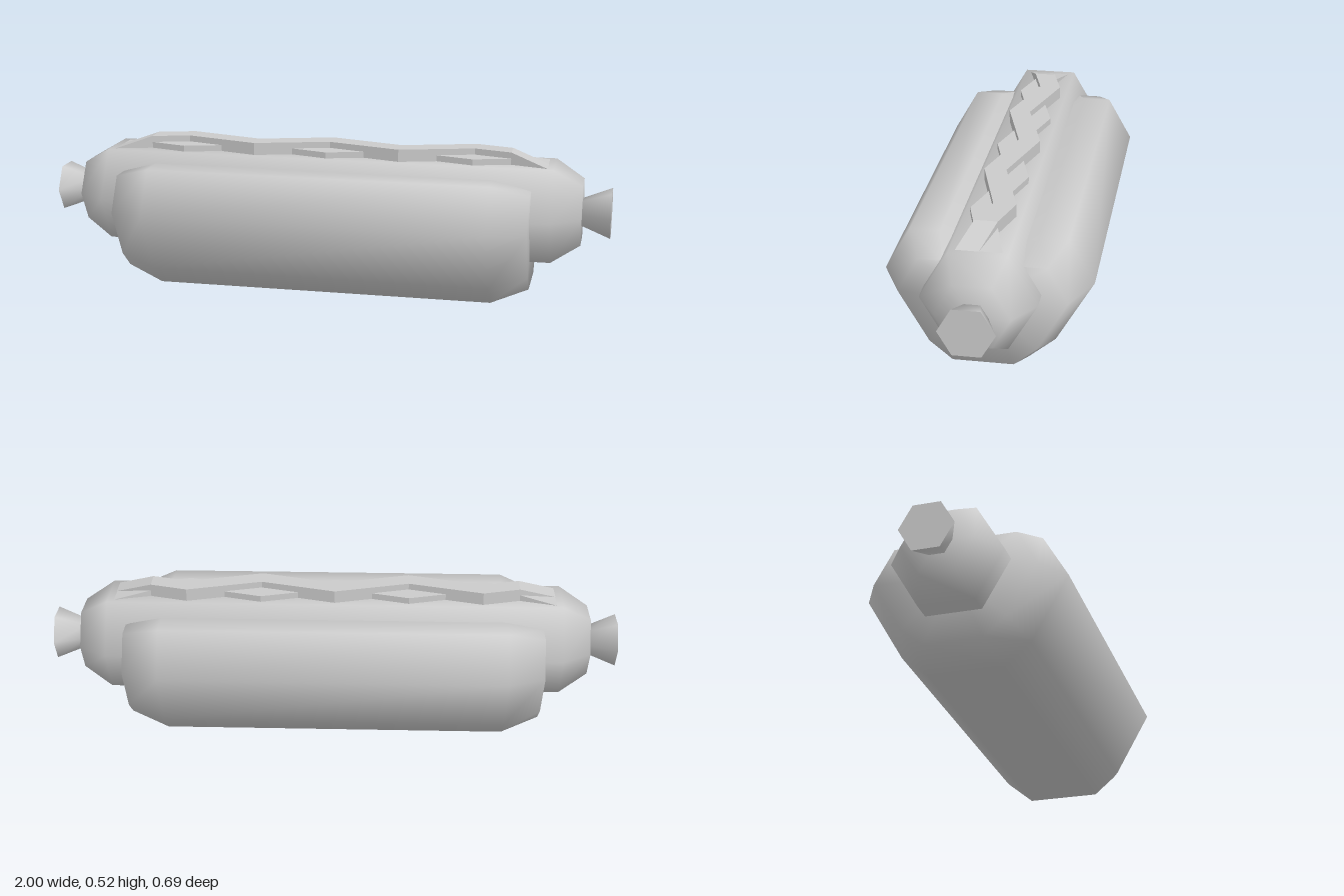
import * as THREE from 'three';
import { toCreasedNormals } from 'three/addons/utils/BufferGeometryUtils.js';

const material = new THREE.MeshStandardMaterial({ color: 0xcccccc });

// Skin a row of rings running along +x. Each section is { x, ring: [[z, y], ...] },
// with the ring turning from +y towards +z; both ends are capped.
function loft(name, sections, crease) {
  const rings = sections.map(({ x, ring }) => ring.map(([z, y]) => [x, y, z]));
  const n = rings[0].length;
  const pos = [];
  const tri = (...points) => points.forEach((p) => pos.push(...p));
  for (let i = 0; i < rings.length - 1; i++) {
    for (let j = 0; j < n; j++) {
      const k = (j + 1) % n;
      const a = rings[i], b = rings[i + 1];
      tri(a[j], a[k], b[j]);
      tri(a[k], b[k], b[j]);
    }
  }
  const centre = (ring) => [0, 1, 2].map((c) => ring.reduce((s, p) => s + p[c], 0) / n);
  const first = rings[0], last = rings[rings.length - 1];
  const c0 = centre(first), c1 = centre(last);
  for (let j = 0; j < n; j++) {
    const k = (j + 1) % n;
    tri(c0, first[k], first[j]);
    tri(c1, last[j], last[k]);
  }
  const geometry = new THREE.BufferGeometry();
  geometry.setAttribute('position', new THREE.Float32BufferAttribute(pos, 3));
  const mesh = new THREE.Mesh(toCreasedNormals(geometry, crease), material);
  mesh.name = name;
  return mesh;
}

const SMOOTH = 1.3;
const AXIS_Y = 0.314;

// Hexagon with a flat top, centred on the sausage axis
function hexagon(r) {
  return Array.from({ length: 6 }, (_, i) => {
    const a = Math.PI / 6 + (i * Math.PI) / 3;
    return [r * Math.sin(a), AXIS_Y + r * Math.cos(a)];
  });
}

const hexLoft = (name, stations) =>
  loft(name, stations.map(([x, r]) => ({ x, ring: hexagon(r) })), SMOOTH);

// Bun: a mirrored cradle profile that shrinks at both ends
function makeBun() {
  const half = [[0.08, 0.413], [0.16, 0.45], [0.26, 0.45], [0.345, 0.3], [0.22, 0.08], [0.125, 0]];
  const profile = [...half, ...half.map(([z, y]) => [-z, y]).reverse()];
  const scaled = (s) => profile.map(([z, y]) => [z * s, 0.25 + (y - 0.25) * s]);
  const stations = [[-0.73, 0.8], [-0.6, 1], [0.6, 1], [0.73, 0.8]];
  return loft('bun', stations.map(([x, s]) => ({ x, ring: scaled(s) })), SMOOTH);
}

// Sauce: a zigzag ribbon whose tips slope down onto the sausage
function makeSauce(name, side, top) {
  const w = 0.038, base = 0.465;
  const stations = [-0.78, -0.65, -0.52, -0.26, 0, 0.26, 0.52, 0.65, 0.78];
  const sections = stations.map((x) => {
    // triangle wave: -1 at x = 0, +1 at x = 0.26
    const t = (Math.abs(x) / 0.26) % 2;
    const z = side * w * (t < 1 ? 2 * t - 1 : 3 - 2 * t);
    const y = Math.abs(x) > 0.7 ? 0.478 : top;
    return { x, ring: [[z + w, y], [z + w, base], [z - w, base], [z - w, y]] };
  });
  return loft(name, sections, 0.1);
}

export function createModel() {
  const model = new THREE.Group();
  model.name = 'hotDog';
  model.add(makeBun());

  // Sausage with tapered ends
  model.add(hexLoft('sausage', [[-0.9, 0.122], [-0.8, 0.19], [0.8, 0.19], [0.9, 0.122]]));

  // Flared casing knots
  model.add(hexLoft('leftKnot', [[0.89, 0.047], [1, 0.092]]));
  model.add(hexLoft('rightKnot', [[-1, 0.092], [-0.89, 0.047]]));

  // Two crossing ribbons, one lying over the other
  model.add(makeSauce('upperSauce', 1, 0.522));
  model.add(makeSauce('lowerSauce', -1, 0.5));
  return model;
}
